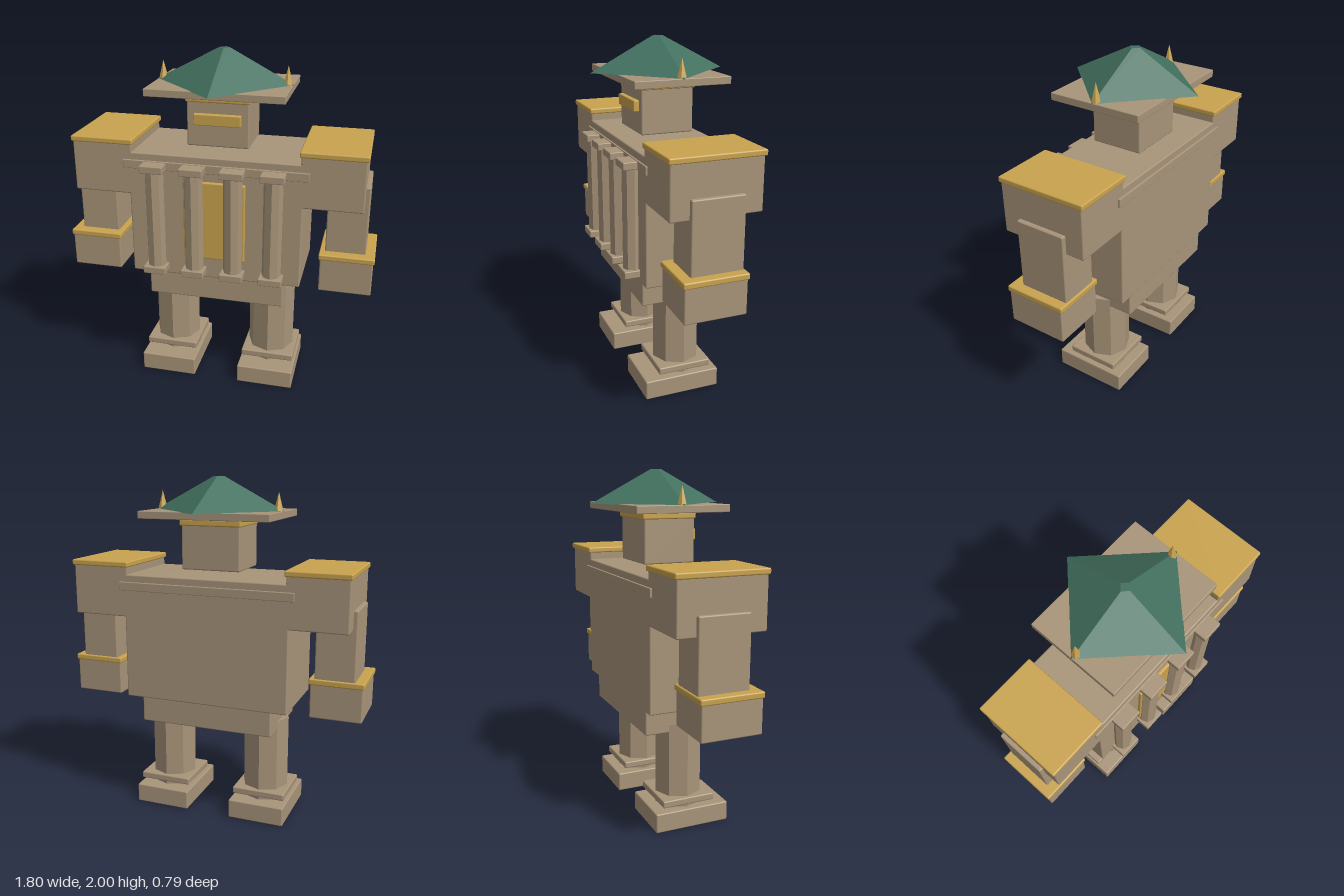
import * as THREE from 'three';
import { RoundedBoxGeometry } from 'three/addons/geometries/RoundedBoxGeometry.js';

const material = (name, color, extra = {}) => {
  const m = new THREE.MeshStandardMaterial({ color, ...extra });
  m.name = name;
  return m;
};

export function createModel() {
  const stone = material('sandstone', 0xa89479);
  const gold = material('gold', 0xc9a34e);
  const roofGreen = material('roof green', 0x42705f);
  const model = new THREE.Group();
  model.name = 'templeGolem';

  const add = (name, geometry, mat, parent = model) => {
    const mesh = new THREE.Mesh(geometry, mat);
    mesh.name = name;
    parent.add(mesh);
    return mesh;
  };

  // Softly bevelled block given by its extents
  const block = (name, mat, [x0, x1], [y0, y1], [z0, z1], parent = model, bevel = 0.008) => {
    const geometry = new RoundedBoxGeometry(x1 - x0, y1 - y0, z1 - z0, 2, bevel);
    geometry.translate((x0 + x1) / 2, (y0 + y1) / 2, (z0 + z1) / 2);
    return add(name, geometry, mat, parent);
  };

  // Faceted prism or cone between two heights
  const prism = (name, mat, rTop, rBottom, sides, x, y0, y1, z, parent = model) => {
    const geometry = new THREE.CylinderGeometry(rTop, rBottom, y1 - y0, sides).toNonIndexed();
    geometry.computeVertexNormals();
    geometry.translate(x, (y0 + y1) / 2, z);
    return add(name, geometry, mat, parent);
  };

  // Torso
  block('hips', stone, [-0.4, 0.4], [0.562, 0.72], [-0.232, 0.245]);
  block('torso', stone, [-0.495, 0.495], [0.712, 1.447], [-0.247, 0.258]);
  block('cornice', stone, [-0.525, 0.525], [1.355, 1.405], [-0.258, 0.268], model, 0.004);
  block('door', gold, [-0.177, 0.177], [0.84, 1.307], [0.22, 0.276]);

  // Colonnade across the chest
  for (const x of [-0.339, -0.114, 0.111, 0.336]) {
    const column = new THREE.Group();
    column.name = 'chestColumn';
    model.add(column);
    const wide = [x - 0.066, x + 0.066];
    prism('columnShaft', stone, 0.054, 0.054, 8, x, 0.77, 1.375, 0.28, column);
    block('columnBase', stone, wide, [0.742, 0.784], [0.214, 0.346], column, 0.005);
    block('columnCapital', stone, wide, [1.358, 1.4], [0.214, 0.346], column, 0.005);
  }

  // Arms and legs, one set per side
  for (const side of [-1, 1]) {
    const label = side > 0 ? 'left' : 'right';
    const span = (a, b) => (side > 0 ? [a, b] : [-b, -a]);

    const arm = new THREE.Group();
    arm.name = label + 'Arm';
    model.add(arm);
    block('shoulder', stone, span(0.475, 0.823), [1.198, 1.5], [-0.247, 0.258], arm);
    block('shoulderCap', gold, span(0.467, 0.832), [1.488, 1.521], [-0.258, 0.266], arm);
    block('forearm', stone, span(0.62, 0.848), [0.85, 1.31], [-0.14, 0.153], arm);
    block('hand', stone, span(0.598, 0.895), [0.68, 0.89], [-0.142, 0.206], arm);
    block('cuff', gold, span(0.59, 0.902), [0.875, 0.91], [-0.15, 0.213], arm);

    const leg = new THREE.Group();
    leg.name = label + 'Leg';
    model.add(leg);
    block('foot', stone, span(0.135, 0.472), [0, 0.114], [-0.197, 0.25], leg);
    block('ankleSlab', stone, span(0.145, 0.463), [0.139, 0.18], [-0.15, 0.165], leg);
    prism('legColumn', stone, 0.138, 0.138, 8, side * 0.303, 0.1, 0.61, 0.007, leg);
  }

  // Head
  block('head', stone, [-0.177, 0.173], [1.48, 1.745], [-0.144, 0.16]);
  block('visor', gold, [-0.133, 0.131], [1.606, 1.668], [0.13, 0.19], model, 0.005);
  block('headBand', gold, [-0.184, 0.182], [1.728, 1.765], [-0.154, 0.168]);

  // Roof hat with two finials
  block('eaveSlab', stone, [-0.386, 0.384], [1.77, 1.812], [-0.272, 0.272], model, 0.004);
  prism('roof', roofGreen, 0.031, 0.393, 4, 0, 1.81, 2, 0);
  for (const side of [-1, 1]) {
    prism('finial', gold, 0, 0.028, 6, side * 0.354, 1.81, 1.918, 0);
  }

  return model;
}
